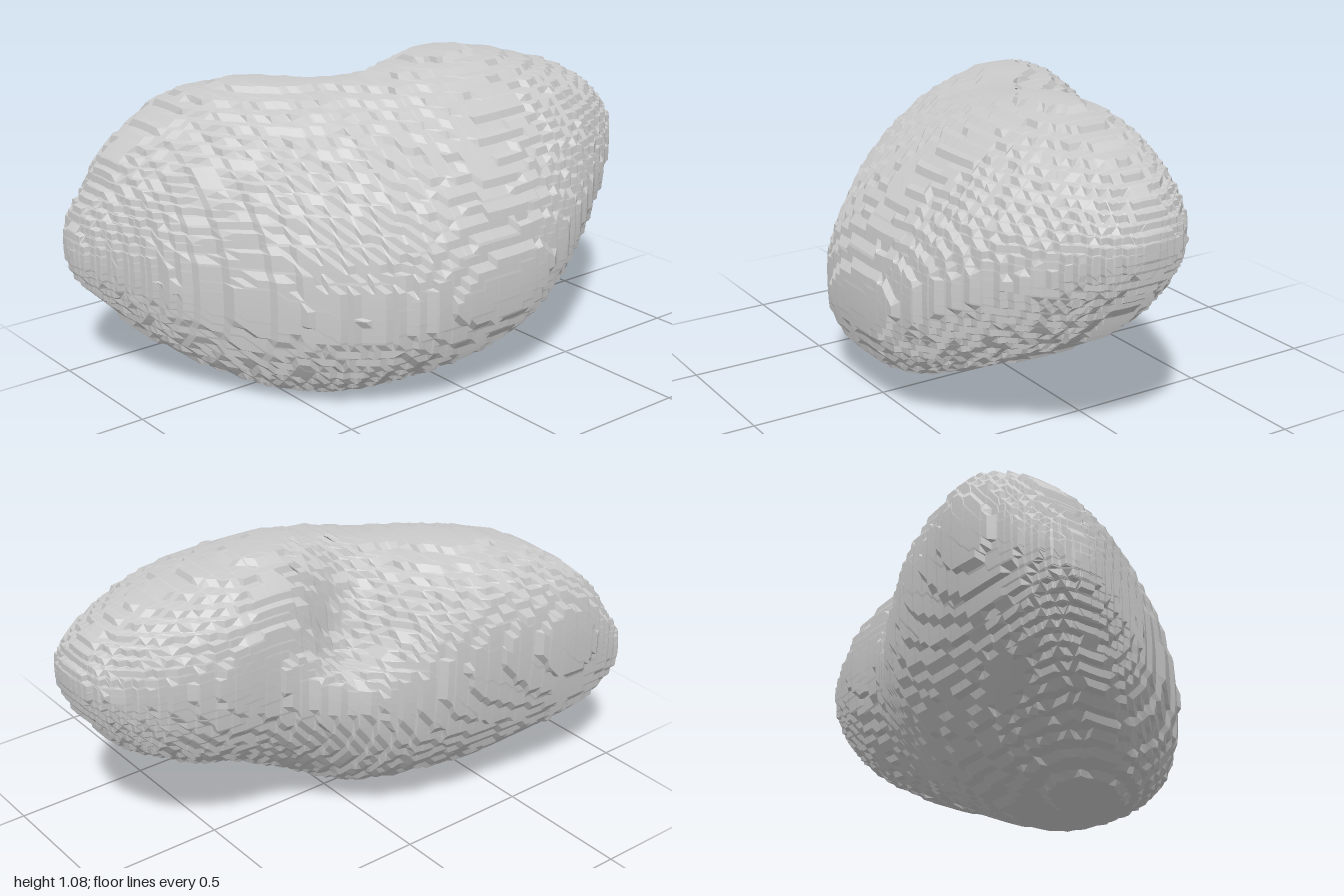
import * as THREE from 'three';

// Cross-sections along the organ:
// z, x min, x max, y min, y max, diagonal lean, lower-right-hand fullness, upper fullness
const SECTIONS = [
  [1, -0.46, -0.42, 0.42, 0.47, -0.1, 0, 0],
  [0.96, -0.54, -0.32, 0.34, 0.6, -0.2, 0, 0],
  [0.9, -0.57, -0.2, 0.27, 0.68, -0.2, 0, 0.02],
  [0.8, -0.6, -0.02, 0.16, 0.81, -0.25, 0, 0.06],
  [0.6, -0.61, 0.3, 0.04, 0.94, -0.27, 0, 0.12],
  [0.4, -0.57, 0.48, 0, 0.99, -0.3, 0.08, 0.1],
  [0.2, -0.53, 0.6, 0.03, 1.01, -0.3, 0.15, 0.08],
  [0, -0.46, 0.63, 0.06, 1.06, -0.34, 0.24, 0.05],
  [-0.2, -0.35, 0.63, 0.13, 1.09, -0.42, 0.28, 0.02],
  [-0.4, -0.27, 0.59, 0.22, 1.06, -0.36, 0.2, 0.06],
  [-0.6, -0.25, 0.5, 0.31, 1.02, -0.22, 0.1, 0.06],
  [-0.8, -0.18, 0.37, 0.43, 0.96, -0.15, 0.03, 0.03],
  [-0.92, -0.1, 0.27, 0.57, 0.89, -0.1, 0, 0],
  [-0.97, -0.04, 0.2, 0.65, 0.83, -0.1, 0, 0],
  [-1, 0.06, 0.12, 0.73, 0.78, 0, 0, 0],
];
const RINGS = 140;
const SIDES = 128;
const STEP = 0.03; // size of the surface terraces
const SHARPNESS = 0.6; // 0 smooth, 1 fully stepped

// Hollow on the concave side: shallow saddle plus a narrow pit
const HOLLOW = new THREE.Vector3(-0.27, 0.9, -0.08);
const INWARD = new THREE.Vector3(0.5, -0.8, 0.1).normalize();

function pressHollow(p) {
  const d2 = p.distanceToSquared(HOLLOW);
  const depth = 0.13 * Math.exp(-d2 / 0.06) + 0.28 * Math.exp(-d2 / 0.02);
  return p.addScaledVector(INWARD, depth);
}

// Swelling around one direction of a cross-section
const swell = (angle, degrees) =>
  Math.max(0, Math.cos(angle - THREE.MathUtils.degToRad(degrees))) ** 4;

function bodyGeometry() {
  const spline = (f) => new THREE.CatmullRomCurve3(SECTIONS.map(f), false, 'catmullrom', 0.5);
  const centres = spline(([z, x0, x1, y0, y1]) => new THREE.Vector3((x0 + x1) / 2, (y0 + y1) / 2, z));
  const sizes = spline(([, x0, x1, y0, y1]) => new THREE.Vector3((x1 - x0) / 2, (y1 - y0) / 2, 0));
  const shapes = spline((s) => new THREE.Vector3(s[5], s[6], s[7]));

  const positions = [];
  const index = [];
  const terrace = (v) => THREE.MathUtils.lerp(v, Math.round(v / STEP) * STEP, SHARPNESS);
  const push = (p) => positions.push(
    terrace(p.x), Math.max(0, terrace(p.y)), THREE.MathUtils.clamp(terrace(p.z), -1, 1));

  // Leaning, swollen elliptical rings, softly terraced
  for (let i = 0; i <= RINGS; i++) {
    const c = centres.getPoint(i / RINGS);
    const s = sizes.getPoint(i / RINGS);
    const { x: lean, y: lower, z: upper } = shapes.getPoint(i / RINGS);
    for (let j = 0; j < SIDES; j++) {
      const a = (j / SIDES) * Math.PI * 2;
      const r = 1 + lower * swell(a, 235) + upper * swell(a, 143);
      const x = c.x + s.x * r * Math.cos(a);
      const y = c.y + s.y * r * (lean * Math.cos(a) + Math.sqrt(1 - lean * lean) * Math.sin(a));
      push(pressHollow(new THREE.Vector3(x, y, c.z)));
    }
  }
  for (let i = 0; i < RINGS; i++) {
    for (let j = 0; j < SIDES; j++) {
      const k = (j + 1) % SIDES;
      const a = i * SIDES + j, b = a + SIDES;
      const c = i * SIDES + k, d = c + SIDES;
      index.push(a, b, c, c, b, d);
    }
  }

  // Closed tips
  const front = positions.length / 3;
  push(centres.getPoint(0));
  push(centres.getPoint(1));
  for (let j = 0; j < SIDES; j++) {
    const k = (j + 1) % SIDES;
    index.push(front, j, k, front + 1, RINGS * SIDES + k, RINGS * SIDES + j);
  }

  const geometry = new THREE.BufferGeometry();
  geometry.setAttribute('position', new THREE.Float32BufferAttribute(positions, 3));
  geometry.setIndex(index);
  const flat = geometry.toNonIndexed();
  flat.computeVertexNormals();
  return flat;
}

export function createModel() {
  const group = new THREE.Group();
  group.name = 'kidney';
  const material = new THREE.MeshStandardMaterial({ color: 0xcccccc, flatShading: true });
  const body = new THREE.Mesh(bodyGeometry(), material);
  body.name = 'kidneyBody';
  group.add(body);
  return group;
}
